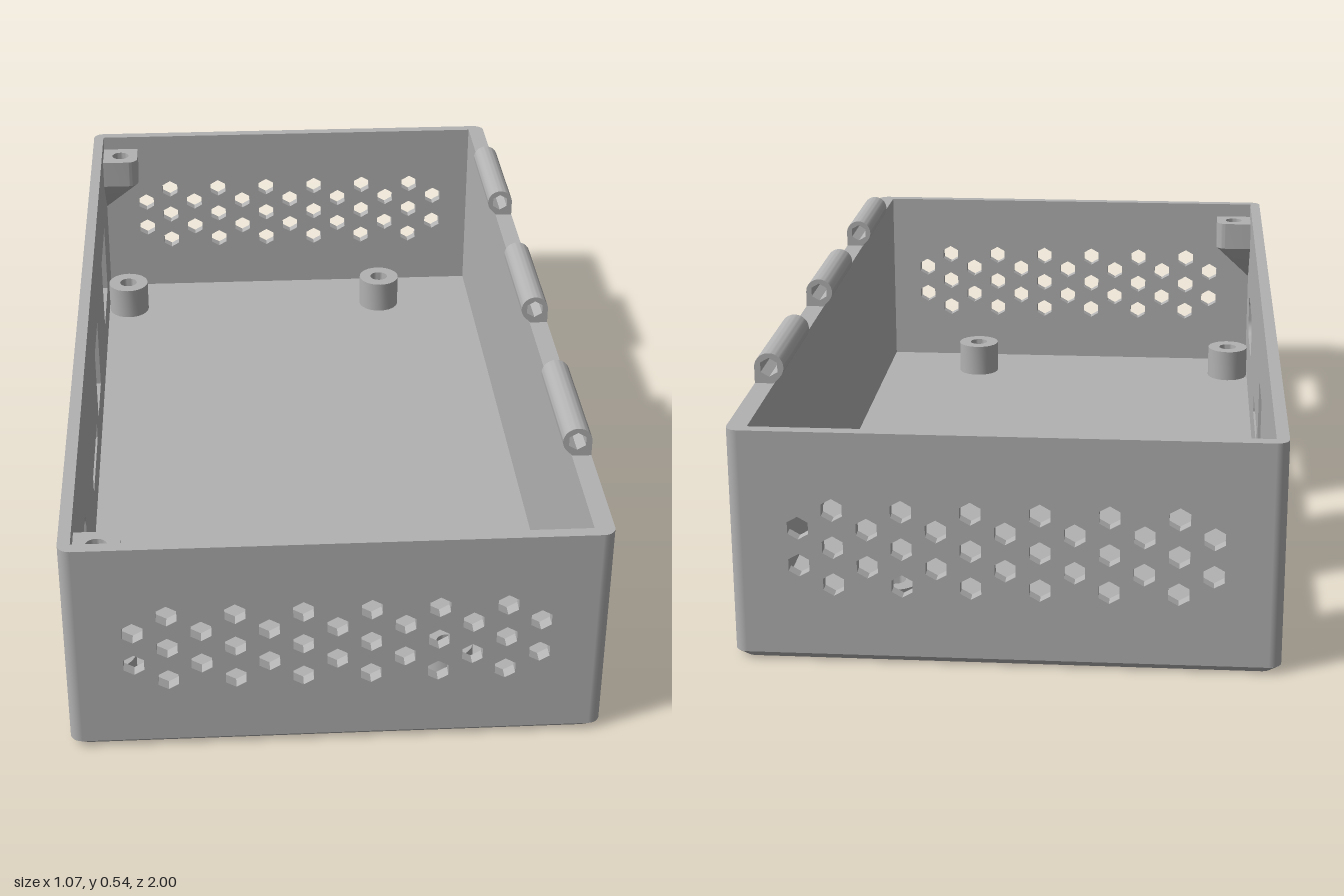
import * as THREE from 'three';
import { toCreasedNormals } from 'three/addons/utils/BufferGeometryUtils.js';

const W = 0.535, L = 1, H = 0.475;   // outer half width, half length, height
const R = 0.025;                     // wall thickness and corner radius
const BASE = 0.015, FLOOR = 0.022;   // chamfer height, inner floor level

const plastic = new THREE.MeshStandardMaterial({ color: 0xb2b2b2 });
plastic.name = 'grey plastic';

function add(parent, name, geometry, x = 0, y = 0, z = 0) {
  const mesh = new THREE.Mesh(geometry, plastic);
  mesh.name = name;
  mesh.position.set(x, y, z);
  parent.add(mesh);
  return mesh;
}

const poly = (pts) => new THREE.Shape(pts.map(([x, y]) => new THREE.Vector2(x, y)));
const rect = (x0, y0, x1, y1) => poly([[x0, y0], [x1, y0], [x1, y1], [x0, y1]]);

function roundedRect(x0, y0, x1, y1, r) {
  const s = new THREE.Shape();
  s.absarc(x1 - r, y0 + r, r, -Math.PI / 2, 0);
  s.absarc(x1 - r, y1 - r, r, 0, Math.PI / 2);
  s.absarc(x0 + r, y1 - r, r, Math.PI / 2, Math.PI);
  s.absarc(x0 + r, y0 + r, r, Math.PI, Math.PI * 1.5);
  return s;
}

function circle(x, y, r) {
  const s = new THREE.Shape();
  s.absarc(x, y, r, 0, Math.PI * 2);
  return s;
}

function hexagon(x, y, r) {
  return poly(Array.from({ length: 6 }, (_, i) => {
    const a = Math.PI / 6 + i * Math.PI / 3;
    return [x + r * Math.cos(a), y + r * Math.sin(a)];
  }));
}

function extrude(shape, depth, holes = []) {
  shape.holes.push(...holes);
  return new THREE.ExtrudeGeometry(shape, { depth, bevelEnabled: false, curveSegments: 12 });
}

// Extrusion standing upright: shape y becomes -z, depth becomes +y
const upright = (shape, depth, holes) => extrude(shape, depth, holes).rotateX(-Math.PI / 2);
const smooth = (g) => toCreasedNormals(g, Math.PI / 5);

// Bottom plate with its lower rim drawn inward as a chamfer
function addBase(box) {
  const g = upright(roundedRect(-W, -L, W, L, R), BASE);
  const p = g.attributes.position;
  for (let i = 0; i < p.count; i++) {
    if (p.getY(i) > BASE / 2) continue;
    p.setX(i, p.getX(i) * (W - BASE) / W);
    p.setZ(i, p.getZ(i) * (L - BASE) / L);
  }
  g.computeVertexNormals();
  add(box, 'chamferedBase', smooth(g));
  add(box, 'floor', new THREE.BoxGeometry(2 * (W - R), FLOOR - BASE, 2 * (L - R)), 0, (FLOOR + BASE) / 2, 0);
}

// End walls with staggered hexagonal vents
function addEndWalls(box) {
  for (const side of [1, -1]) {
    const vents = [];
    for (let c = -6; c <= 6; c++) {
      const rows = c % 2 ? [-2, 0, 2] : [-1, 1];
      for (const r of rows) vents.push(hexagon(c * 0.0667, 0.24 + r * 0.0385, 0.0235));
    }
    add(box, side > 0 ? 'frontVentWall' : 'backVentWall',
      extrude(rect(-W + R, BASE, W - R, H), R, vents), 0, 0, side > 0 ? L - R : -L);
  }
}

// Long wall with the connector openings, in two layers so the card slot gets a finger recess
function addPortWall(box) {
  const cardSlot = rect(0, 0.113, 0.245, 0.155);
  const cardRecess = poly([[0, 0.113], [0.05, 0.108], [0.09, 0.07], [0.155, 0.07],
    [0.195, 0.108], [0.245, 0.113], [0.245, 0.155], [0, 0.155]]);
  [cardSlot, cardRecess].forEach((slot, i) => {
    const ports = [
      rect(-0.77, 0.118, -0.555, 0.3),
      rect(-0.237, 0.125, -0.075, 0.3),
      slot,
      roundedRect(0.54, 0.155, 0.8, 0.262, 0.035),
    ];
    const g = extrude(rect(-L + R, BASE, L - R, H), R / 2, ports).rotateY(-Math.PI / 2);
    add(box, i ? 'portWallOuter' : 'portWallInner', g, -W + R - i * R / 2, 0, 0);
  });
}

// Corner post with a screw hole and a support tapering into the corner
function addScrewBoss(box, side) {
  const size = 0.092, outline = () => {
    const s = new THREE.Shape();
    s.moveTo(0, 0);
    s.lineTo(size, 0);
    s.lineTo(size, size - 0.025);
    s.absarc(size - 0.025, size - 0.025, 0.025, 0, Math.PI / 2);
    s.lineTo(0, size);
    return s;
  };
  const boss = new THREE.Group();
  boss.name = side > 0 ? 'frontScrewBoss' : 'backScrewBoss';
  add(boss, 'bossBlock', smooth(upright(outline(), 0.07, [circle(0.046, 0.046, 0.022)])), 0, 0.37, 0);
  const taper = upright(outline(), 0.1);
  const p = taper.attributes.position;
  for (let i = 0; i < p.count; i++) {
    if (p.getY(i) < 0.05) p.setXYZ(i, p.getX(i) * 0.01, p.getY(i), p.getZ(i) * 0.01);
  }
  taper.computeVertexNormals();
  add(boss, 'bossTaper', smooth(taper), 0, 0.27, 0);
  // the outline grows towards -z; a quarter turn fits the opposite corner
  boss.position.set(-W + R, 0, side * (L - R));
  if (side < 0) boss.rotation.y = -Math.PI / 2;
  box.add(boss);
}

// Hinge knuckle: round barrel blending into the wall, with a hexagonal pin hole
function hingeGeometry(length) {
  const cx = 0.505, cy = 0.509, r = 0.03;
  const s = new THREE.Shape();
  s.moveTo(W, H - 0.01);
  s.lineTo(W, cy);
  s.absarc(cx, cy, r, 0, Math.PI * 1.25);
  s.lineTo(0.4965, H);
  s.lineTo(0.4965, H - 0.01);
  return smooth(extrude(s, length, [hexagon(cx, cy, 0.02)]));
}

export function createModel() {
  const box = new THREE.Group();
  box.name = 'ventedEnclosure';

  addBase(box);
  addEndWalls(box);
  addPortWall(box);

  // Thicker plain wall on the hinge side
  const wallH = H - BASE;
  add(box, 'hingeWall', new THREE.BoxGeometry(0.04, wallH, 2 * (L - R)), W - 0.02, BASE + wallH / 2, 0);

  // Rounded vertical corners
  [[1, 1], [1, -1], [-1, -1], [-1, 1]].forEach(([sx, sz], i) => {
    const g = new THREE.CylinderGeometry(R, R, wallH, 6, 1, false, i * Math.PI / 2, Math.PI / 2);
    add(box, 'roundedCorner', g, sx * (W - R), BASE + wallH / 2, sz * (L - R));
  });

  for (const side of [1, -1]) {
    addScrewBoss(box, side);
    // Board standoffs
    for (const x of [-0.455, 0.24]) {
      const g = smooth(upright(circle(0, 0, 0.053), 0.103 - FLOOR, [circle(0, 0, 0.023)]));
      add(box, 'standoff', g, x, FLOOR, side * 0.83);
    }
  }

  // Hinge knuckles along the rim
  const length = 0.283;
  for (const z of [-0.57, 0.003, 0.573]) add(box, 'hingeKnuckle', hingeGeometry(length), 0, 0, z - length / 2);

  return box;
}
